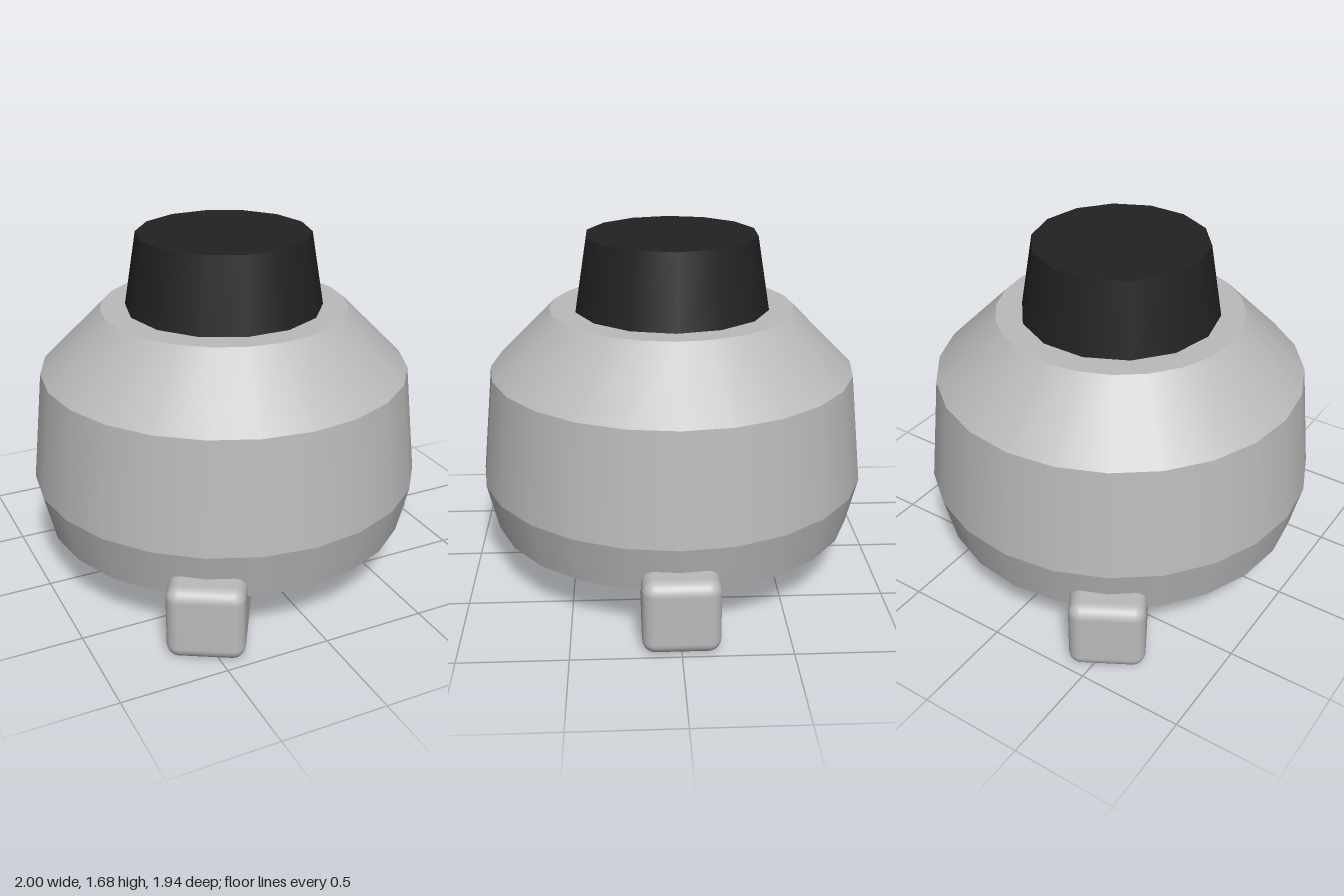
import * as THREE from 'three';
import { RoundedBoxGeometry } from 'three/addons/geometries/RoundedBoxGeometry.js';

export function createModel() {
  const model = new THREE.Group();
  model.name = 'knobOnFeet';
  const axisX = -0.045; // axis of the turned parts, shifted so the feet are centred

  const mat = (name, color) => {
    const m = new THREE.MeshStandardMaterial({ color });
    m.name = name;
    return m;
  };
  const grey = mat('light grey', 0xbababa);
  const black = mat('black', 0x222222);

  const add = (name, geometry, material, parent = model) => {
    const mesh = new THREE.Mesh(geometry, material);
    mesh.name = name;
    parent.add(mesh);
    return mesh;
  };

  // One conical band between two heights, with a corner on the x axis
  const band = (r0, y0, r1, y1, sides, open) =>
    new THREE.CylinderGeometry(r1, r0, y1 - y0, sides, 1, open)
      .rotateY(Math.PI / 2)
      .translate(axisX, (y0 + y1) / 2, 0);

  // Body: three bands with sharp edges between them
  const profile = [[0.9, 0.245], [0.955, 0.48], [0.897, 1.02], [0.597, 1.322]];
  const names = ['lowerBody', 'middleBody', 'shoulder'];
  names.forEach((name, i) => {
    const [r0, y0] = profile[i];
    const [r1, y1] = profile[i + 1];
    add(name, band(r0, y0, r1, y1, 24, true), grey);
  });

  // Flat underside and top of the body
  const disc = (name, r, y, tilt) =>
    add(name, new THREE.CircleGeometry(r, 24).rotateX(tilt).translate(axisX, y, 0), grey);
  disc('bodyBottom', 0.9, 0.245, Math.PI / 2);
  disc('bodyTop', 0.597, 1.322, -Math.PI / 2);

  // Tapered knob
  add('knob', band(0.478, 1.322, 0.418, 1.68, 14, false), black);

  // Three rounded feet around the axis
  for (let i = 0; i < 3; i++) {
    const arm = new THREE.Group();
    arm.name = 'footMount';
    arm.position.x = axisX;
    arm.rotation.y = (i * Math.PI * 2) / 3;
    model.add(arm);
    add('foot', new RoundedBoxGeometry(0.595, 0.355, 0.355, 4, 0.06), grey, arm)
      .position.set(0.745, 0.1785, 0);
  }

  return model;
}
